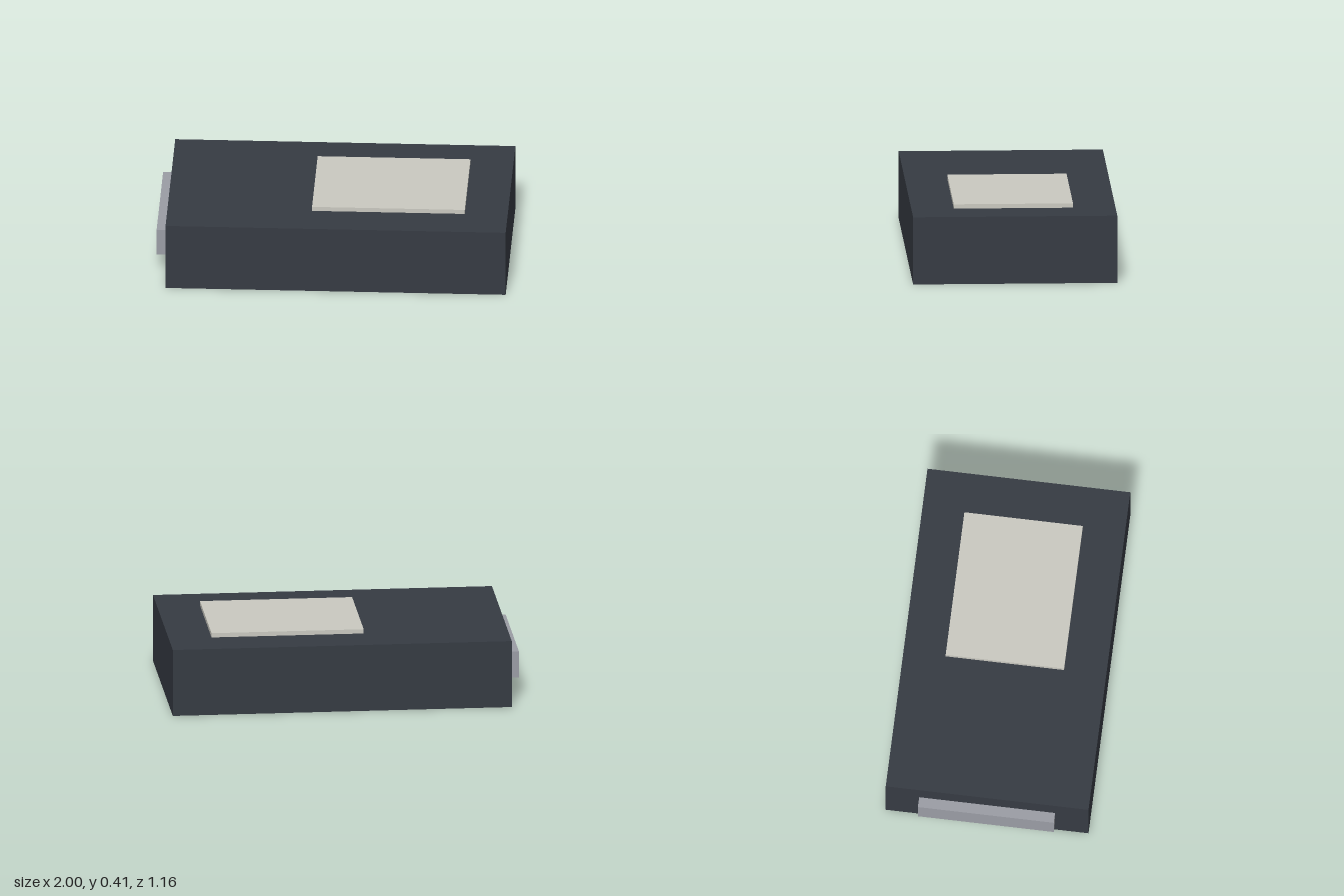
import * as THREE from 'three';

const material = (name, color) => {
  const m = new THREE.MeshStandardMaterial({ color });
  m.name = name;
  return m;
};

// Box spanning two opposite corners
function slab(name, mat, [x0, y0, z0], [x1, y1, z1]) {
  const mesh = new THREE.Mesh(new THREE.BoxGeometry(x1 - x0, y1 - y0, z1 - z0), mat);
  mesh.position.set((x0 + x1) / 2, (y0 + y1) / 2, (z0 + z1) / 2);
  mesh.name = name;
  return mesh;
}

export function createModel() {
  const casing = material('charcoal casing', 0x363b43);
  const paper = material('pale label', 0xcac9c0);
  const metal = material('grey metal', 0x9b9da5);

  const group = new THREE.Group();
  group.name = 'cartridge';
  group.add(
    // main block
    slab('body', casing, [-0.94, 0, -0.582], [1, 0.39, 0.582]),
    // raised plate on the top, off-centre
    slab('label', paper, [-0.116, 0.39, -0.34], [0.755, 0.415, 0.34]),
    // connector bar on the right end
    slab('connector', metal, [-1, 0.12, -0.39], [-0.94, 0.273, 0.39]),
  );
  return group;
}
